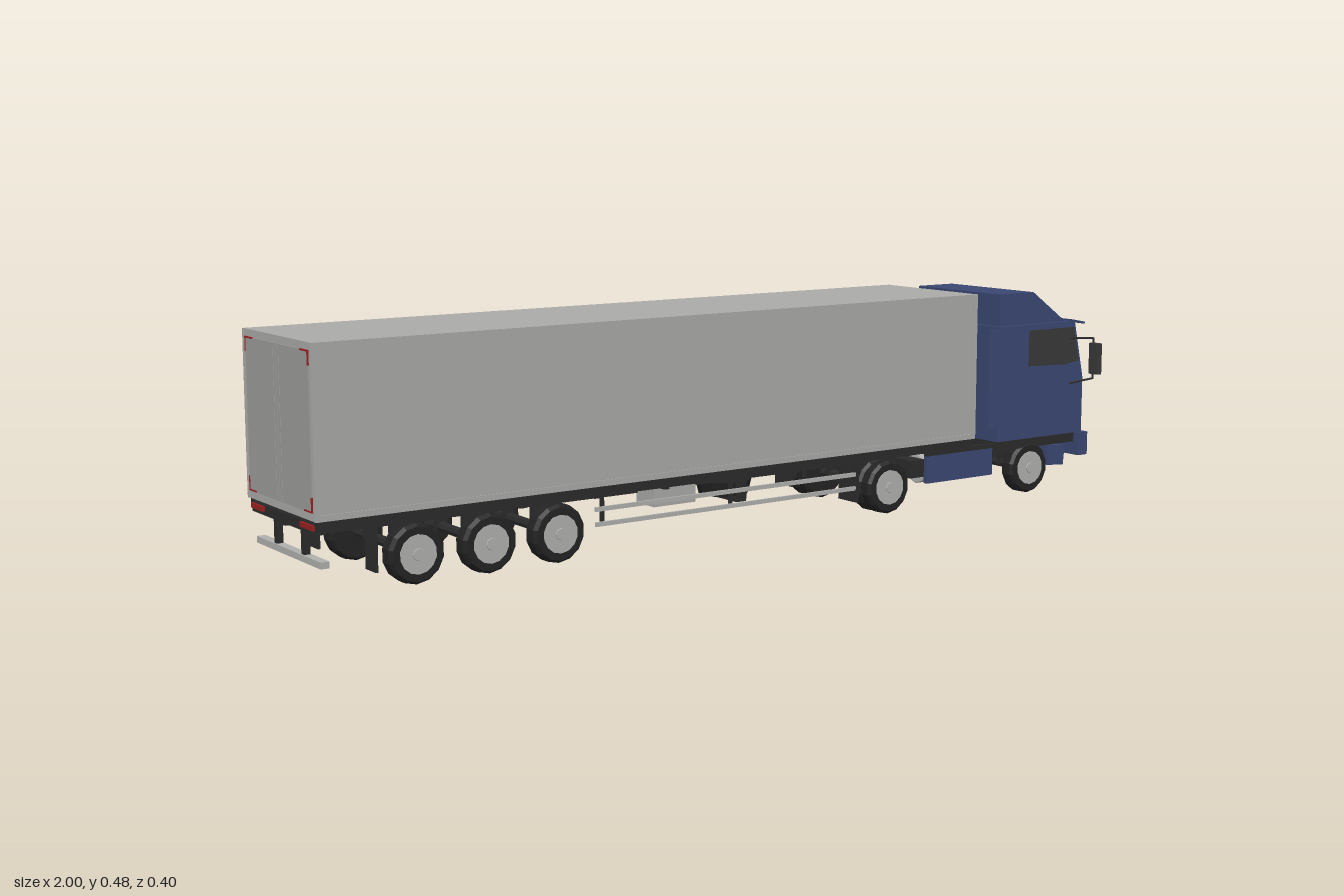
import * as THREE from 'three';

export function createModel() {
  const truck = new THREE.Group();
  truck.name = 'articulatedLorry';
  const mat = (name, color) => {
    const m = new THREE.MeshStandardMaterial({ color, flatShading: true });
    m.name = name;
    return m;
  };
  const blue = mat('cabBlue', 0x3a4772);
  const grey = mat('trailerGrey', 0xaaaaa8);
  const door = mat('doorGrey', 0x9c9c9a);
  const dark = mat('glassDark', 0x383838);
  const black = mat('chassisBlack', 0x2b2b2b);
  const rubber = mat('tyreRubber', 0x232323);
  const metal = mat('wheelMetal', 0xb0b0ae);
  const red = mat('markerRed', 0x9a2020);

  const add = (name, geo, m, parent = truck) => {
    const mesh = new THREE.Mesh(geo, m);
    mesh.name = name;
    parent.add(mesh);
    return mesh;
  };
  // Box given by its limits on each axis
  const box = (name, m, x0, x1, y0, y1, z0, z1, parent) => {
    const g = new THREE.BoxGeometry(x1 - x0, y1 - y0, Math.abs(z1 - z0));
    g.translate((x0 + x1) / 2, (y0 + y1) / 2, (z0 + z1) / 2);
    return add(name, g, m, parent);
  };
  const pair = (name, m, x0, x1, y0, y1, z0, z1) => {
    for (const s of [1, -1]) box(name, m, x0, x1, y0, y1, s * z0, s * z1);
  };
  // Side outline in x, y extruded between two z values
  const slab = (name, m, pts, z0, z1) => {
    const shape = new THREE.Shape(pts.map(p => new THREE.Vector2(...p)));
    const g = new THREE.ExtrudeGeometry(shape, { depth: z1 - z0, bevelEnabled: false });
    g.translate(0, 0, z0);
    return add(name, g, m);
  };
  // Straight rod between two points
  const rod = (name, m, a, b, r, sides = 6) => {
    const p = new THREE.Vector3(...a), q = new THREE.Vector3(...b);
    const mesh = add(name, new THREE.CylinderGeometry(r, r, p.distanceTo(q), sides), m);
    mesh.position.copy(p).lerp(q, 0.5);
    mesh.quaternion.setFromUnitVectors(new THREE.Vector3(0, 1, 0), q.sub(p).normalize());
    return mesh;
  };

  // ---- Trailer body ----
  box('trailerBox', grey, -0.998, 0.63, 0.146, 0.477, -0.152, 0.152);
  for (const s of [1, -1]) {
    box('sideTopRail', grey, -1, 0.63, 0.47, 0.477, s * 0.15, s * 0.154);
    box('sideBottomRail', grey, -1, 0.63, 0.146, 0.158, s * 0.15, s * 0.154);
    for (const x of [-1, 0.62]) box('cornerPost', grey, x, x + 0.012, 0.146, 0.477, s * 0.15, s * 0.154);
    // Rear doors with lock rods and red corner markings
    box('rearDoor', door, -1.0, -0.996, 0.162, 0.462, s * 0.002, s * 0.14);
    rod('doorLockRod', metal, [-0.999, 0.165, s * 0.012], [-0.999, 0.46, s * 0.012], 0.0012);
    for (const y of [0.162, 0.46]) box('cornerMarking', red, -1.001, -0.997, y, y + 0.003, s * 0.108, s * 0.142);
    for (const y of [0.163, 0.435]) box('cornerMarking', red, -1.001, -0.997, y, y + 0.028, s * 0.139, s * 0.142);
    box('tailLamp', red, -1.0, -0.985, 0.128, 0.138, s * 0.085, s * 0.14);
  }

  // ---- Trailer chassis ----
  box('trailerFloor', black, -0.99, 0.625, 0.136, 0.146, -0.145, 0.145);
  pair('trailerSideRail', black, -0.995, 0.628, 0.126, 0.147, 0.142, 0.151);
  pair('trailerBeam', black, -0.97, 0.3, 0.103, 0.137, 0.05, 0.064);
  pair('gooseneckBeam', black, 0.3, 0.6, 0.124, 0.137, 0.05, 0.064);
  for (let x = -0.9; x < 0.3; x += 0.17) box('crossMember', black, x, x + 0.012, 0.12, 0.137, -0.142, 0.142);
  box('rearCrossMember', black, -0.995, -0.975, 0.12, 0.14, -0.145, 0.145);

  // Rear underrun guard
  pair('underrunBracket', black, -0.985, -0.972, 0.062, 0.125, 0.055, 0.068);
  box('underrunBar', metal, -0.988, -0.97, 0.056, 0.069, -0.145, 0.145);

  // Side guards
  for (const s of [1, -1]) {
    for (const y of [0.063, 0.094]) box('sideGuardRail', metal, -0.39, 0.285, y, y + 0.009, s * 0.142, s * 0.147);
    for (const x of [-0.375, -0.055, 0.265]) box('sideGuardPost', black, x, x + 0.008, 0.063, 0.13, s * 0.136, s * 0.142);
  }

  // Spare wheel with carrier, and equipment box
  const spare = add('spareWheel', new THREE.CylinderGeometry(0.062, 0.054, 0.032, 12), rubber);
  spare.position.set(0.032, 0.08, 0);
  box('spareCarrier', black, 0.02, 0.045, 0.054, 0.062, -0.065, 0.065);
  pair('spareHanger', black, 0.02, 0.045, 0.06, 0.11, 0.062, 0.068);
  box('equipmentBox', grey, -0.235, -0.13, 0.082, 0.12, 0.06, 0.125);

  // ---- Wheels ----
  const R = 0.06;
  const tyre = (name, x, z, w) => {
    const h = w / 2;
    const profile = [[0, -h], [0.04, -h], [0.054, -h], [R, -h * 0.6], [R, h * 0.6], [0.054, h], [0.04, h], [0, h]];
    const g = new THREE.LatheGeometry(profile.map(p => new THREE.Vector2(...p)), 14);
    g.rotateX(Math.PI / 2);
    add(name, g, rubber).position.set(x, R, z);
  };
  const wheel = (x, s, width, dual) => {
    if (dual) {
      tyre('outerTyre', x, s * 0.134, 0.032);
      tyre('innerTyre', x, s * 0.099, 0.032);
    } else tyre('tyre', x, s * (0.15 - width / 2), width);
    const rim = new THREE.CylinderGeometry(0.039, 0.039, 0.004, 14);
    rim.rotateX(Math.PI / 2);
    add('wheelRim', rim, metal).position.set(x, R, s * 0.15);
    const hub = new THREE.CylinderGeometry(0.012, 0.014, 0.006, 8);
    hub.rotateX(Math.PI / 2);
    add('wheelHub', hub, metal).position.set(x, R, s * 0.151);
  };
  for (const [x, width, dual] of [[-0.79, 0.042], [-0.632, 0.042], [-0.475, 0.042], [0.38, 0, true], [0.81, 0.036]]) {
    for (const s of [1, -1]) wheel(x, s, width, dual);
    rod('axle', black, [x, R, -0.13], [x, R, 0.13], 0.011, 8);
    pair('axleMount', black, x - 0.012, x + 0.012, 0.055, 0.11, 0.05, 0.064);
  }
  // Mud flaps
  pair('trailerMudFlap', black, -0.878, -0.873, 0.035, 0.13, 0.105, 0.148);
  pair('driveMudFlap', black, 0.288, 0.293, 0.035, 0.125, 0.083, 0.148);
  pair('driveFender', black, 0.445, 0.485, 0.072, 0.112, 0.085, 0.145);

  // ---- Tractor chassis ----
  pair('tractorBeam', black, 0.29, 0.955, 0.1, 0.123, 0.053, 0.063);
  for (const x of [0.3, 0.5, 0.72, 0.93]) box('tractorCrossMember', black, x, x + 0.015, 0.102, 0.12, -0.055, 0.055);
  box('couplingPlate', black, 0.33, 0.44, 0.118, 0.13, -0.055, 0.055);
  box('cabFloor', black, 0.705, 0.955, 0.108, 0.131, -0.148, 0.148);
  box('engine', black, 0.76, 0.93, 0.07, 0.11, -0.045, 0.045);
  rod('fuelTank', metal, [0.5, 0.083, 0.1], [0.68, 0.083, 0.1], 0.034, 8);
  box('batteryBox', black, 0.51, 0.66, 0.06, 0.115, -0.13, -0.08);
  pair('sideSkirt', blue, 0.49, 0.69, 0.056, 0.118, 0.139, 0.15);
  pair('skirtTopRail', black, 0.49, 0.7, 0.118, 0.128, 0.139, 0.149);
  for (const s of [1, -1])
    slab('frontStep', blue, [[0.868, 0.06], [0.92, 0.056], [0.925, 0.102], [0.868, 0.108]],
      s > 0 ? 0.115 : -0.15, s > 0 ? 0.15 : -0.115);

  // ---- Cab ----
  slab('cabBody', blue, [[0.705, 0.13], [0.978, 0.13], [0.978, 0.262], [0.948, 0.397], [0.705, 0.397]], -0.15, 0.15);
  slab('roofFairing', blue, [[0.715, 0.397], [0.925, 0.397], [0.82, 0.471], [0.715, 0.471]], -0.14, 0.14);
  slab('sunVisor', blue, [[0.94, 0.396], [0.982, 0.388], [0.982, 0.393], [0.94, 0.401]], -0.15, 0.15);
  pair('sideDeflector', blue, 0.675, 0.71, 0.165, 0.39, 0.142, 0.15);
  box('bumper', blue, 0.97, 1.0, 0.073, 0.128, -0.15, 0.15);

  // Glass and grille
  slab('windscreen', dark, [[0.971, 0.285], [0.976, 0.285], [0.953, 0.39], [0.948, 0.39]], -0.13, 0.13);
  box('grille', dark, 0.975, 0.981, 0.155, 0.252, -0.105, 0.105);
  for (const s of [1, -1]) {
    const z = s * 0.15;
    slab('sideWindow', dark, [[0.8, 0.3], [0.915, 0.296], [0.962, 0.302], [0.944, 0.383], [0.8, 0.383]], z - 0.002, z + 0.002);
    // Mirrors on two arms
    box('mirror', dark, 0.975, 0.99, 0.272, 0.345, s * 0.172, s * 0.199);
    rod('upperMirrorArm', black, [0.935, 0.357, z], [0.98, 0.357, s * 0.181], 0.0025);
    rod('lowerMirrorArm', black, [0.935, 0.25, z], [0.98, 0.262, s * 0.183], 0.0025);
    rod('mirrorPost', black, [0.98, 0.26, s * 0.181], [0.98, 0.358, s * 0.181], 0.0025);
  }
  return truck;
}
